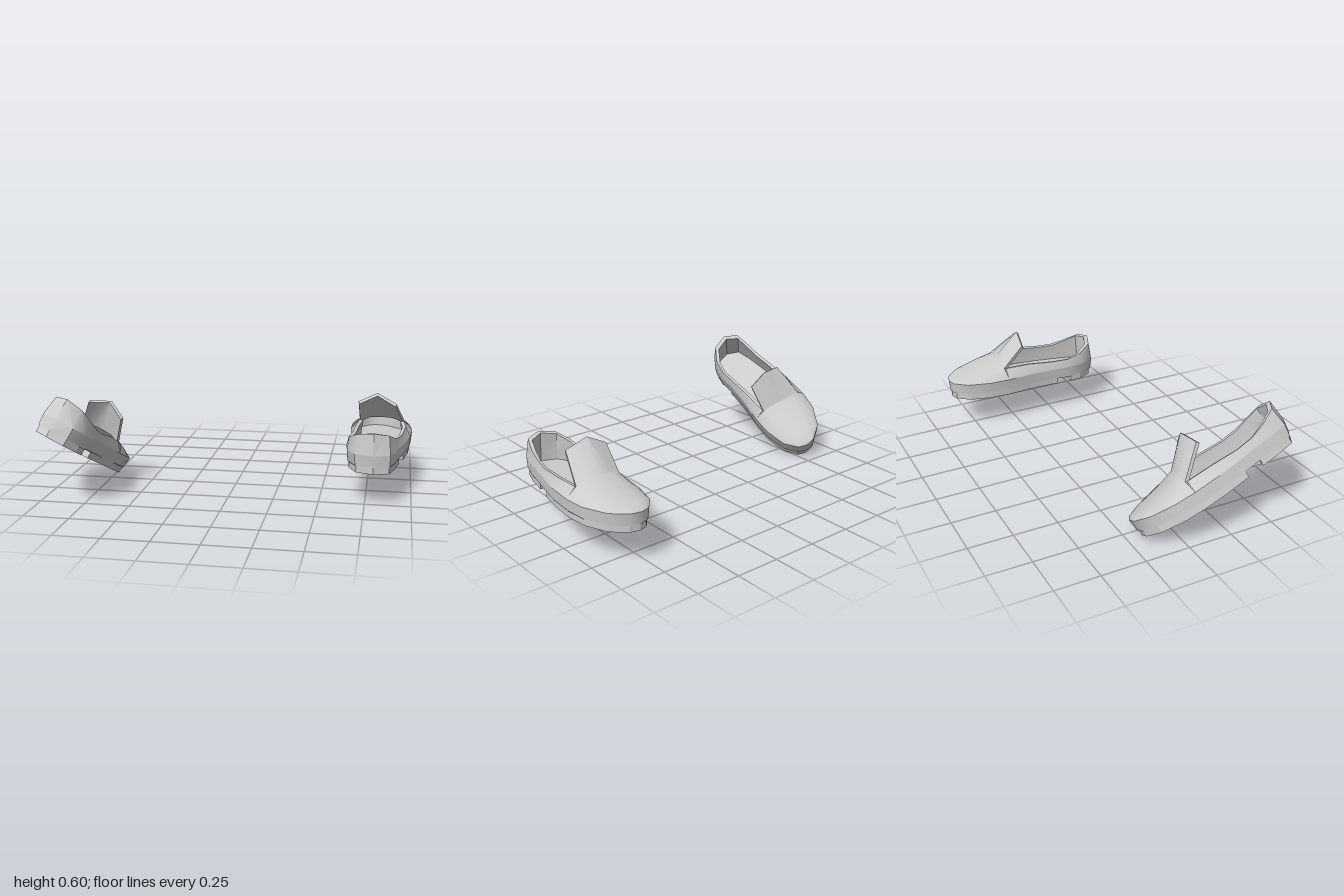
import * as THREE from 'three';
import { toCreasedNormals } from 'three/addons/utils/BufferGeometryUtils.js';

const solid = new THREE.MeshStandardMaterial({ color: 0xcccccc });
const sheet = new THREE.MeshStandardMaterial({ color: 0xcccccc, side: THREE.DoubleSide });

// Plan outline [x, z] at the widest level: heel, outer side, toe, inner side
const OUTLINE = [
  [-0.01, 0.322], [0.08, 0.29], [0.11, 0.2], [0.13, 0.1], [0.155, 0], [0.185, -0.15], [0.197, -0.3],
  [0.185, -0.42], [0.13, -0.55], [0.05, -0.622], [-0.01, -0.636], [-0.06, -0.622], [-0.12, -0.55],
  [-0.155, -0.42], [-0.16, -0.3], [-0.15, -0.15], [-0.152, 0], [-0.163, 0.1], [-0.155, 0.2], [-0.11, 0.285],
];
const N = OUTLINE.length;
const MID = 0.105;
const FLOOR = 0.04;
const centreX = i => (OUTLINE[i][0] + OUTLINE[(N - i) % N][0]) / 2;

// Outline scaled about its own centre
const inset = k => OUTLINE.map(([x, z]) => [0.018 + (x - 0.018) * k, -0.157 + (z + 0.157) * (1 + (k - 1) * 0.45)]);

// Surface through rows of [x, y, z] points
function loft(rows, closed, side) {
  const n = rows[0].length, pos = [], idx = [];
  for (const row of rows) for (const [x, y, z] of row) pos.push(x * side, y, z);
  for (let r = 0; r < rows.length - 1; r++) {
    for (let c = 0; c < (closed ? n : n - 1); c++) {
      const a = r * n + c, b = r * n + (c + 1) % n;
      idx.push(a, b, a + n, b, b + n, a + n);
    }
  }
  const g = new THREE.BufferGeometry();
  g.setAttribute('position', new THREE.Float32BufferAttribute(pos, 3));
  g.setIndex(idx);
  return toCreasedNormals(g, 0.7);
}

// Keep the part of a plan polygon on one side of the slanted line z = c - 0.17x
function clip(points, c, keepHeel) {
  const d = ([x, z]) => (z + 0.17 * x - c) * (keepHeel ? 1 : -1);
  const out = [];
  points.forEach((p, i) => {
    const q = points[(i + 1) % points.length], a = d(p), b = d(q);
    if (a >= 0) out.push(p);
    if (a * b < 0) {
      const t = a / (a - b);
      out.push([p[0] + (q[0] - p[0]) * t, p[1] + (q[1] - p[1]) * t]);
    }
  });
  return out;
}

// Flat slab between two heights
function slab(points, y0, y1, side) {
  const shape = new THREE.Shape(points.map(([x, z]) => new THREE.Vector2(x * side, z)));
  const g = new THREE.ExtrudeGeometry(shape, { depth: y1 - y0, bevelEnabled: false });
  return g.rotateX(Math.PI / 2).translate(0, y1, 0);
}

function createShoe(side, name) {
  const shoe = new THREE.Group();
  shoe.name = name;
  const add = (partName, geometry, material) => {
    const mesh = new THREE.Mesh(geometry, material);
    mesh.name = partName;
    shoe.add(mesh);
  };

  // Split sole with a slanted gap in front of the heel
  const soleLine = inset(0.93);
  add('heelSole', slab(clip(soleLine, 0.098, true), 0, FLOOR, side), solid);
  add('forefootSole', slab(clip(soleLine, 0.005, false), 0, FLOOR, side), solid);
  add('insole', slab(inset(0.95), 0.035, 0.052, side), solid);

  // Low wall all around the foot
  const at = (ring, y) => ring.map(([x, z]) => [x, y, z]);
  add('lowerWall', loft([at(inset(0.97), FLOOR), at(OUTLINE, MID)], true, side), sheet);

  // Quarter: outer wall, padded rim and lining around the heel
  const order = [6, 5, 4, 3, 2, 1, 0, 19, 18, 17, 16, 15, 14];
  const rimY = [0.159, 0.163, 0.152, 0.155, 0.177, 0.21, 0.225];
  const rimK = [0.72, 0.84, 0.9, 0.92, 0.92, 0.9, 0.9];
  const quarterRow = (dk, heelZ, yOf) => order.map((i, j) => {
    const m = Math.min(j, 12 - j), [x, z] = OUTLINE[i], c = centreX(i);
    return [c + (x - c) * (rimK[m] + dk), yOf(rimY[m]), z > 0.15 ? z * heelZ : z];
  });
  add('quarter', loft([
    order.map(i => [OUTLINE[i][0], MID, OUTLINE[i][1]]),
    quarterRow(0, 0.95, y => y),
    quarterRow(-0.12, 0.87, y => y - 0.004),
    quarterRow(-0.08, 0.9, () => MID),
    quarterRow(-0.06, 0.92, () => 0.05),
  ], false, side), sheet);

  // Vamp: arched sections from the instep down to the toe
  const section = (i, h, columns) => columns.map(s => {
    const [xo, z] = OUTLINE[i], c = centreX(i);
    return [c + (xo - c) * s, MID + h * (1 - Math.abs(s) ** 3.5), z - 0.02 * (1 - s * s) * (i === 6 ? 1 : 0)];
  });
  const across = [1, 0.9, 0.72, 0.4, 0, -0.4, -0.72, -0.9, -1];
  const heights = [0.086, 0.055, 0.027, 0.01, 0];
  add('vamp', loft(heights.map((h, k) => section(6 + k, h, across)), false, side), sheet);

  // Raised tongue flap with a tent-shaped tip
  const cols = across.slice(2, 7);
  const base = section(6, 0.086, cols);
  const tip = cols.map(s => [-0.008 + 0.15 * s, 0.345 - 0.076 * Math.abs(s), -0.18 + 0.028 * s + 0.012 * Math.abs(s)]);
  const lower = row => row.map(([x, y, z]) => [x * 0.97, y - 0.015, z + 0.012]);
  const ring = (a, b) => [...a, ...[...b].reverse()];
  const middle = tip.map((p, i) => p.map((v, k) => (v + lower(tip)[i][k]) / 2));
  add('tongue', loft([ring(base, lower(base)), ring(tip, lower(tip)), ring(middle, middle)], true, side), sheet);
  return shoe;
}

export function createModel() {
  const group = new THREE.Group();
  group.name = 'pairOfShoes';

  // Shoe lying level
  const level = createShoe(1, 'levelShoe');
  level.position.set(0.8, 0.175, 0);

  // Mirrored shoe, heel raised and rolled inwards
  const tilted = createShoe(-1, 'tiltedShoe');
  const w = new THREE.Vector3(-0.08, 0.43, 0.9).normalize();
  const u = new THREE.Vector3(0.91, -0.35, 0.25);
  u.addScaledVector(w, -u.dot(w)).normalize();
  const n = new THREE.Vector3().crossVectors(w, u);
  tilted.quaternion.setFromRotationMatrix(new THREE.Matrix4().makeBasis(u, n, w));
  tilted.position.set(-0.868, 0.27, 0.387);

  group.add(level, tilted);
  return group;
}
